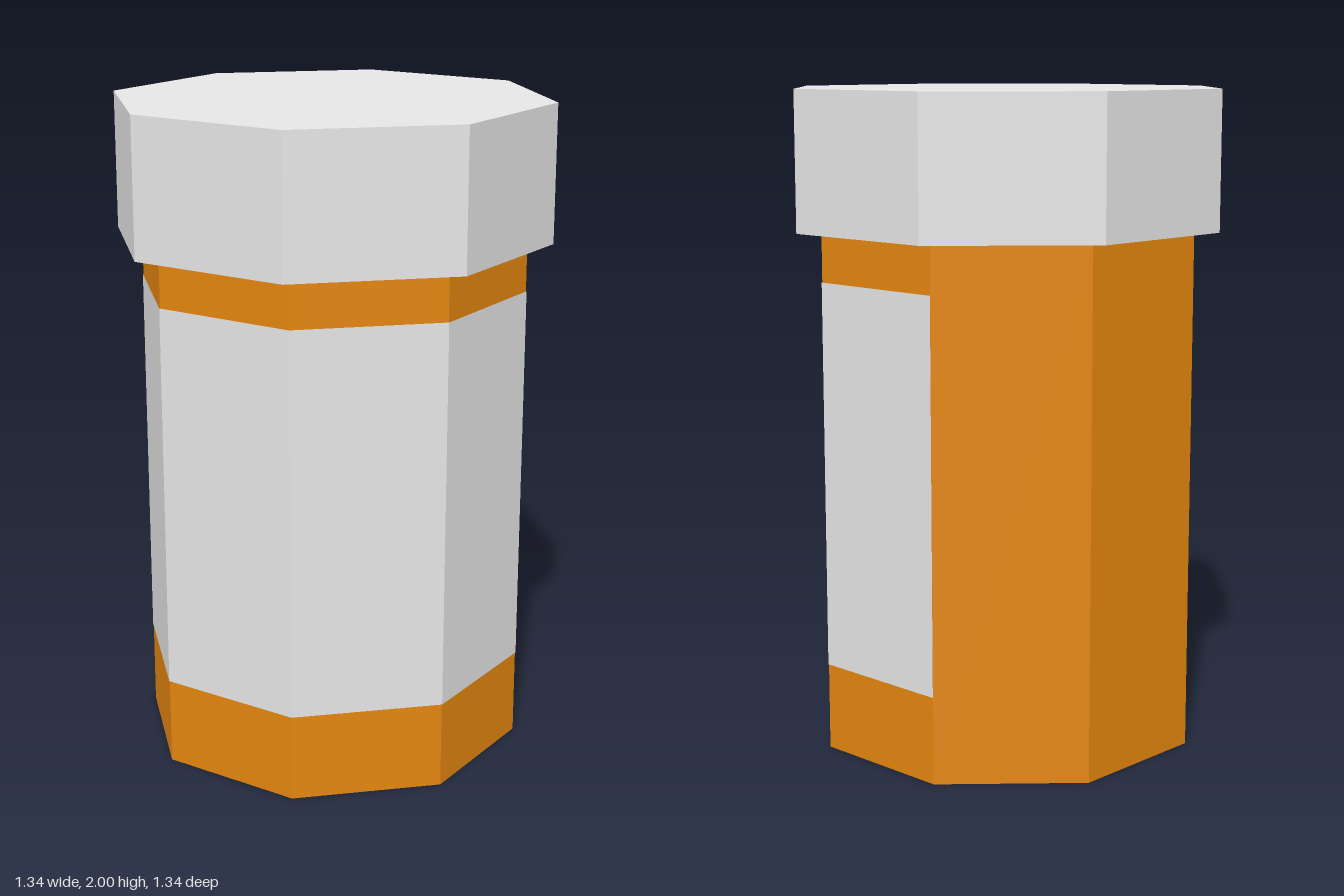
import * as THREE from 'three';

export function createModel() {
  const group = new THREE.Group();
  const amber = new THREE.MeshStandardMaterial({ name: 'amber plastic', color: 0xe4860e, flatShading: true });
  const white = new THREE.MeshStandardMaterial({ name: 'off white', color: 0xe6e6e6, flatShading: true });

  // An octagonal prism between two heights, with corners on the x and z axes
  function prism(name, radius, bottom, top, material, sides = 8, open = false) {
    const arc = (sides * Math.PI) / 4;
    const start = sides === 8 ? 0 : -arc / 2;
    const geometry = new THREE.CylinderGeometry(radius, radius, top - bottom, sides, 1, open, start, arc);
    const mesh = new THREE.Mesh(geometry, material);
    mesh.name = name;
    mesh.position.y = (bottom + top) / 2;
    group.add(mesh);
  }

  prism('bottleBody', 0.593, 0, 1.585, amber);
  // Thin label wrapping six of the eight sides, open at the back
  prism('label', 0.595, 0.265, 1.437, white, 6, true);
  prism('cap', 0.67, 1.583, 2, white);

  return group;
}
